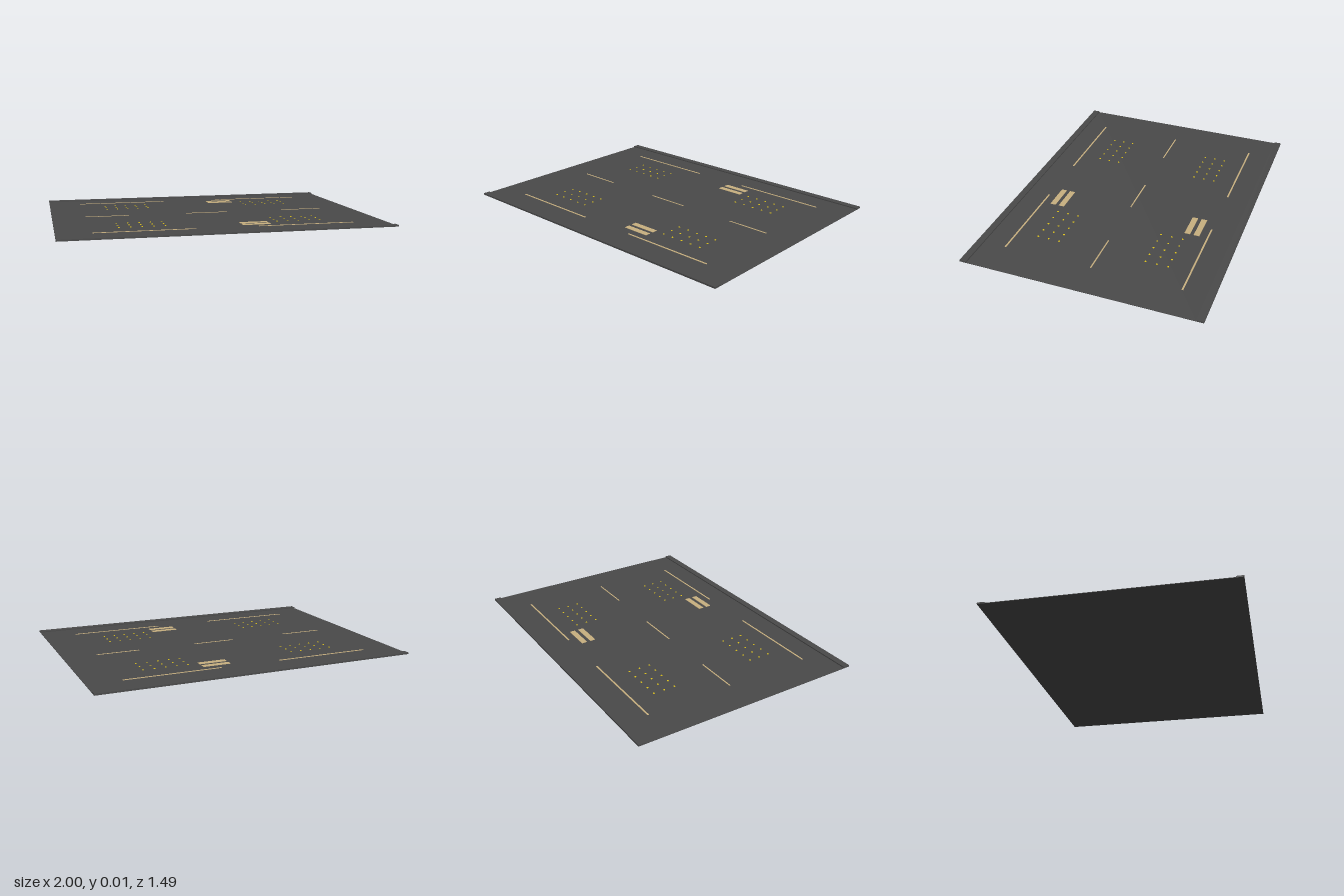
import * as THREE from 'three';

export function createModel() {
  const model = new THREE.Group();
  const material = (name, color) => {
    const m = new THREE.MeshStandardMaterial({ color });
    m.name = name;
    return m;
  };
  const asphalt = material('asphalt', 0x4a4a4a);
  const paint = material('cream paint', 0xc8b080);
  const yellow = material('yellow stud', 0xe0c41c);

  const ROAD_TOP = 0.003;
  const HALF_DEPTH = 0.743;

  // Box given by its extents on each axis
  const box = (name, mat, [x0, x1], [y0, y1], [z0, z1]) => {
    const mesh = new THREE.Mesh(new THREE.BoxGeometry(x1 - x0, y1 - y0, z1 - z0), mat);
    mesh.position.set((x0 + x1) / 2, (y0 + y1) / 2, (z0 + z1) / 2);
    mesh.name = name;
    model.add(mesh);
  };
  const marking = (name, x, z, width) =>
    box(name, paint, x, [ROAD_TOP, ROAD_TOP + 0.002], [z - width / 2, z + width / 2]);

  // Road slab between two low raised kerbs
  box('roadSlab', asphalt, [-1, 1], [0, ROAD_TOP], [-0.7, 0.7]);
  box('frontKerb', asphalt, [-1, 1], [0, 0.01], [0.7, HALF_DEPTH]);
  box('backKerb', asphalt, [-1, 1], [0, 0.01], [-HALF_DEPTH, -0.7]);

  // Dashed centre line
  for (const x of [-0.653, 0, 0.653]) marking('centreDash', [x - 0.138, x + 0.138], 0, 0.008);

  const studGeometry = new THREE.CylinderGeometry(0.006, 0.006, 0.002, 8);
  for (const side of [-1, 1]) {
    // Edge lines
    marking('edgeLine', [-0.79, -0.19], side * 0.556, 0.01);
    marking('edgeLine', [0.19, 0.79], side * 0.556, 0.01);

    // Pairs of wide bars
    for (const z of [0.426, 0.485]) marking('wideBar', [0.107, 0.283], side * z, 0.036);

    // Grids of small studs, five by three on each half
    for (const half of [-1, 1]) {
      for (let i = 0; i < 5; i++) {
        for (let j = 0; j < 3; j++) {
          const stud = new THREE.Mesh(studGeometry, yellow);
          stud.name = 'roadStud';
          stud.position.set(half * (0.348 + i * 0.0695), ROAD_TOP + 0.001, side * (0.278 + j * 0.07));
          model.add(stud);
        }
      }
    }
  }
  return model;
}
